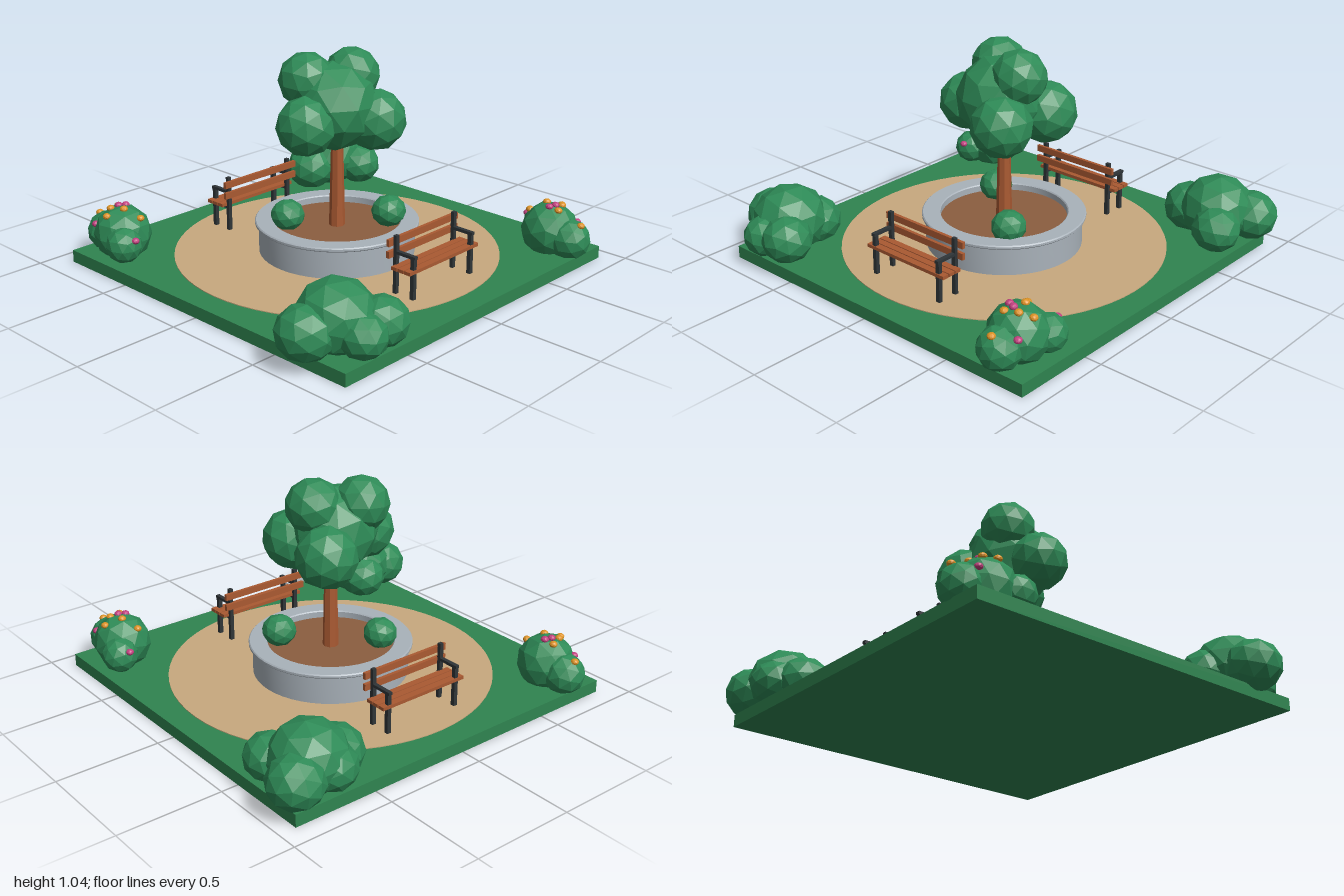
import * as THREE from 'three';
import { toCreasedNormals } from 'three/addons/utils/BufferGeometryUtils.js';

const CX = 0.02; // the garden's axis sits slightly off x = 0

const mat = (name, color) => {
  const m = new THREE.MeshStandardMaterial({ color });
  m.name = name;
  return m;
};

export function createModel() {
  const grass = mat('grass', 0x2f8450);
  const leaf = mat('foliage', 0x2e8b57);
  const sand = mat('sand', 0xc8a97e);
  const stone = mat('stone', 0xa9b2ba);
  const soil = mat('soil', 0x8b5e40);
  const wood = mat('wood', 0xaa5a32);
  const iron = mat('iron', 0x2f3538);
  const pink = mat('pink petals', 0xc2407f);
  const orange = mat('orange petals', 0xdd9326);

  const root = new THREE.Group();
  root.name = 'parkGarden';

  let seed = 11;
  const rand = () => (seed = (seed * 16807) % 2147483647) / 2147483647;

  const add = (parent, name, geo, material, x = 0, y = 0, z = 0) => {
    const m = new THREE.Mesh(geo, material);
    m.name = name;
    m.position.set(x, y, z);
    parent.add(m);
    return m;
  };
  const group = (name, x = 0, y = 0, z = 0) => {
    const g = new THREE.Group();
    g.name = name;
    g.position.set(x, y, z);
    root.add(g);
    return g;
  };
  const box = (parent, name, material, w, h, d, x, y, z) =>
    add(parent, name, new THREE.BoxGeometry(w, h, d), material, x, y, z);

  // Faceted foliage ball, turned by a seeded amount
  const blob = (parent, name, [x, y, z, r], material = leaf, squash = 1) => {
    const geo = new THREE.IcosahedronGeometry(r * 1.03, 1);
    geo.rotateX(rand() * 6.28);
    geo.rotateY(rand() * 6.28);
    geo.scale(1, squash, 1);
    geo.computeVertexNormals();
    return add(parent, name, geo, material, x, y, z);
  };

  // Straight tapered limb between two points
  const limb = (parent, name, a, b, r0, r1, sides) => {
    const p = new THREE.Vector3(...a), q = new THREE.Vector3(...b);
    const dir = q.clone().sub(p);
    const geo = toCreasedNormals(new THREE.CylinderGeometry(r1, r0, dir.length(), sides), 0.3);
    const m = add(parent, name, geo, wood);
    m.position.copy(p).add(q).multiplyScalar(0.5);
    m.quaternion.setFromUnitVectors(new THREE.Vector3(0, 1, 0), dir.normalize());
  };

  // Ground: lawn slab and round path
  box(root, 'lawn', grass, 1.795, 0.06, 1.8, CX, 0.03, 0);
  add(root, 'path', new THREE.CylinderGeometry(0.78, 0.78, 0.006, 64), sand, CX, 0.061, 0);

  // Round planter with overhanging rim
  const planter = group('planter', CX);
  const profile = [
    [0.375, 0.06], [0.375, 0.2], [0.388, 0.2], [0.393, 0.205], [0.393, 0.215],
    [0.388, 0.22], [0.309, 0.22], [0.304, 0.215], [0.304, 0.15],
  ].map(([x, y]) => new THREE.Vector2(x, y));
  add(planter, 'planterWall', toCreasedNormals(new THREE.LatheGeometry(profile, 48), 0.6), stone);
  add(planter, 'planterSoil', new THREE.CylinderGeometry(0.306, 0.306, 0.02, 48), soil, 0, 0.175, 0);
  blob(planter, 'planterShrub', [0.18, 0.25, 0.17, 0.082], leaf, 0.92);
  blob(planter, 'planterShrub', [-0.185, 0.245, -0.148, 0.08], leaf, 0.92);

  // Tree
  const tree = group('tree');
  limb(tree, 'trunk', [CX, 0.17, 0], [CX, 0.72, 0], 0.039, 0.026, 8);
  limb(tree, 'branch', [0.025, 0.48, 0], [0.12, 0.67, -0.1], 0.014, 0.01, 6);
  [
    [0.0, 0.78, 0.0, 0.205], [-0.195, 0.725, 0.01, 0.137], [0.155, 0.715, -0.14, 0.145],
    [0.13, 0.715, 0.142, 0.143], [-0.09, 0.905, -0.09, 0.13], [0.115, 0.91, 0.005, 0.13],
  ].forEach((b) => blob(tree, 'canopy', b));

  // Large corner bushes
  const bushes = {
    frontLeftBush: [
      [-0.72, 0.19, 0.7, 0.175], [-0.87, 0.16, 0.675, 0.13], [-0.67, 0.16, 0.59, 0.12],
      [-0.59, 0.165, 0.83, 0.118], [-0.72, 0.15, 0.85, 0.105],
    ],
    backRightBush: [
      [0.735, 0.19, -0.75, 0.175], [0.87, 0.165, -0.84, 0.127], [0.59, 0.16, -0.74, 0.127],
      [0.825, 0.155, -0.605, 0.115], [0.68, 0.16, -0.83, 0.115],
    ],
  };
  for (const [name, blobs] of Object.entries(bushes)) {
    const g = group(name);
    blobs.forEach((b) => blob(g, 'bushLobe', b, leaf, 0.92));
  }

  // Flowering bushes: blossoms rest on the surface of the lobes
  const lobes = [[0, 0.15, 0, 0.135], [0.072, 0.135, -0.1, 0.085], [0, 0.13, 0.115, 0.098]];
  const surfaceY = (x, z) => Math.max(0.14, ...lobes.map(([a, y, c, r]) => {
    const h = r * r - (x - a) ** 2 - (z - c) ** 2;
    return h > 0 ? y + Math.sqrt(h) : 0;
  }));
  const blossoms = [
    [orange, [[-0.035, -0.095], [0.085, 0.005], [-0.025, 0.06], [0.01, -0.03], [0.035, 0.04], [0.005, 0.17]]],
    [pink, [[0.06, -0.175], [-0.035, 0.015], [-0.003, 0.028], [0.083, 0.098]]],
  ];
  for (const [name, x, z, turn] of [
    ['frontRightFlowers', 0.745, 0.725, 0], ['backLeftFlowers', -0.705, -0.725, Math.PI],
  ]) {
    const g = group(name, x, 0, z);
    g.rotation.y = turn;
    lobes.forEach((b) => blob(g, 'flowerBushLobe', b));
    for (const [material, spots] of blossoms)
      for (const [fx, fz] of spots)
        blob(g, 'blossom', [fx, surfaceY(fx, fz), fz, 0.019], material, 0.8);
  }

  // Benches, backrests toward the planter
  for (const [name, turn] of [['frontBench', 0], ['backBench', Math.PI]]) {
    const g = group(name, CX);
    g.rotation.y = turn;
    for (const z of [0.572, 0.61, 0.648]) box(g, 'seatSlat', wood, 0.48, 0.016, 0.033, 0, 0.198, z);
    for (const y of [0.253, 0.308]) box(g, 'backSlat', wood, 0.48, 0.032, 0.016, 0, y, 0.534);
    for (const s of [-1, 1]) {
      const x = s * 0.2;
      box(g, 'backPost', iron, 0.02, 0.28, 0.018, x, 0.2, 0.55);
      box(g, 'frontLeg', iron, 0.02, 0.2, 0.02, x, 0.16, 0.65);
      box(g, 'armrest', iron, 0.02, 0.014, 0.125, x, 0.262, 0.602);
      box(g, 'seatSupport', iron, 0.018, 0.014, 0.1, x, 0.183, 0.6);
    }
  }

  return root;
}
